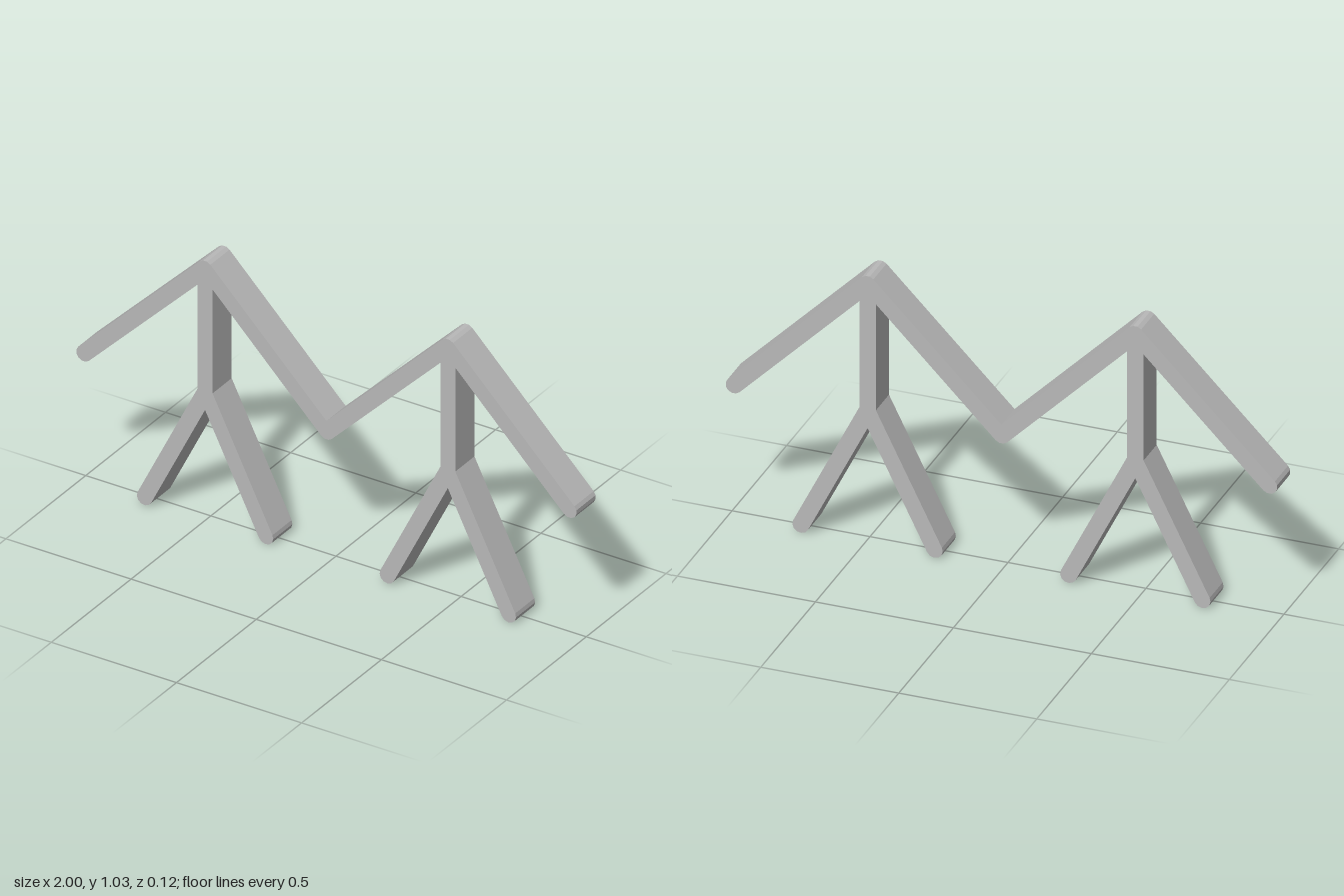
import * as THREE from 'three';

const HALF_WIDTH = 0.03;
const DEPTH = 0.12;

// Outlines a tree of bars: walks round it counter-clockwise, with mitred inner corners and rounded tips and outer corners
function strokeOutline(nodes, links, w) {
  const angle = (a, b) => Math.atan2(nodes[b][1] - nodes[a][1], nodes[b][0] - nodes[a][0]);
  const neighbours = nodes.map(() => []);
  for (const [a, b] of links) {
    neighbours[a].push(b);
    neighbours[b].push(a);
  }
  const points = [];
  const add = (n, t, r) =>
    points.push(new THREE.Vector2(nodes[n][0] + r * Math.cos(t), nodes[n][1] + r * Math.sin(t)));

  let [from, at] = links[0];
  for (let i = 0; i < links.length * 2; i++) {
    const back = angle(at, from);
    let gap = Infinity, next = from;
    for (const n of neighbours[at]) {
      let g = n === from ? Math.PI * 2 : angle(at, n) - back;
      if (g <= 0) g += Math.PI * 2;
      if (g < gap) { gap = g; next = n; }
    }
    if (gap < Math.PI) {
      add(at, back + gap / 2, w / Math.sin(gap / 2));
    } else {
      const sweep = gap - Math.PI;
      const steps = Math.max(1, Math.round(sweep / (Math.PI / 6)));
      for (let k = 0; k <= steps; k++) add(at, back + Math.PI / 2 + sweep * k / steps, w);
    }
    [from, at] = [at, next];
  }
  return points;
}

export function createModel() {
  const group = new THREE.Group();
  group.name = 'zigzagFrame';
  const grey = new THREE.MeshStandardMaterial({ color: 0xb8b8b8 });
  grey.name = 'grey';

  // Joints: centre valley, then apex, outer tip, hub and two feet on each side
  const nodes = [[0, 0.515]];
  const links = [];
  for (const s of [-1, 1]) {
    const apex = nodes.length;
    nodes.push([s * 0.485, 1.0], [s * 0.97, 0.515], [s * 0.485, 0.515], [s * 0.7275, 0.03], [s * 0.2425, 0.03]);
    const [tip, hub, outerFoot, innerFoot] = [1, 2, 3, 4].map((k) => apex + k);
    links.push([0, apex], [apex, tip], [apex, hub], [hub, outerFoot], [hub, innerFoot]);
  }

  // Single flat-sided bar frame
  const shape = new THREE.Shape(strokeOutline(nodes, links, HALF_WIDTH));
  const geometry = new THREE.ExtrudeGeometry(shape, { depth: DEPTH, bevelEnabled: false });
  geometry.translate(0, 0, -DEPTH / 2);
  const frame = new THREE.Mesh(geometry, grey);
  frame.name = 'barFrame';
  group.add(frame);
  return group;
}
